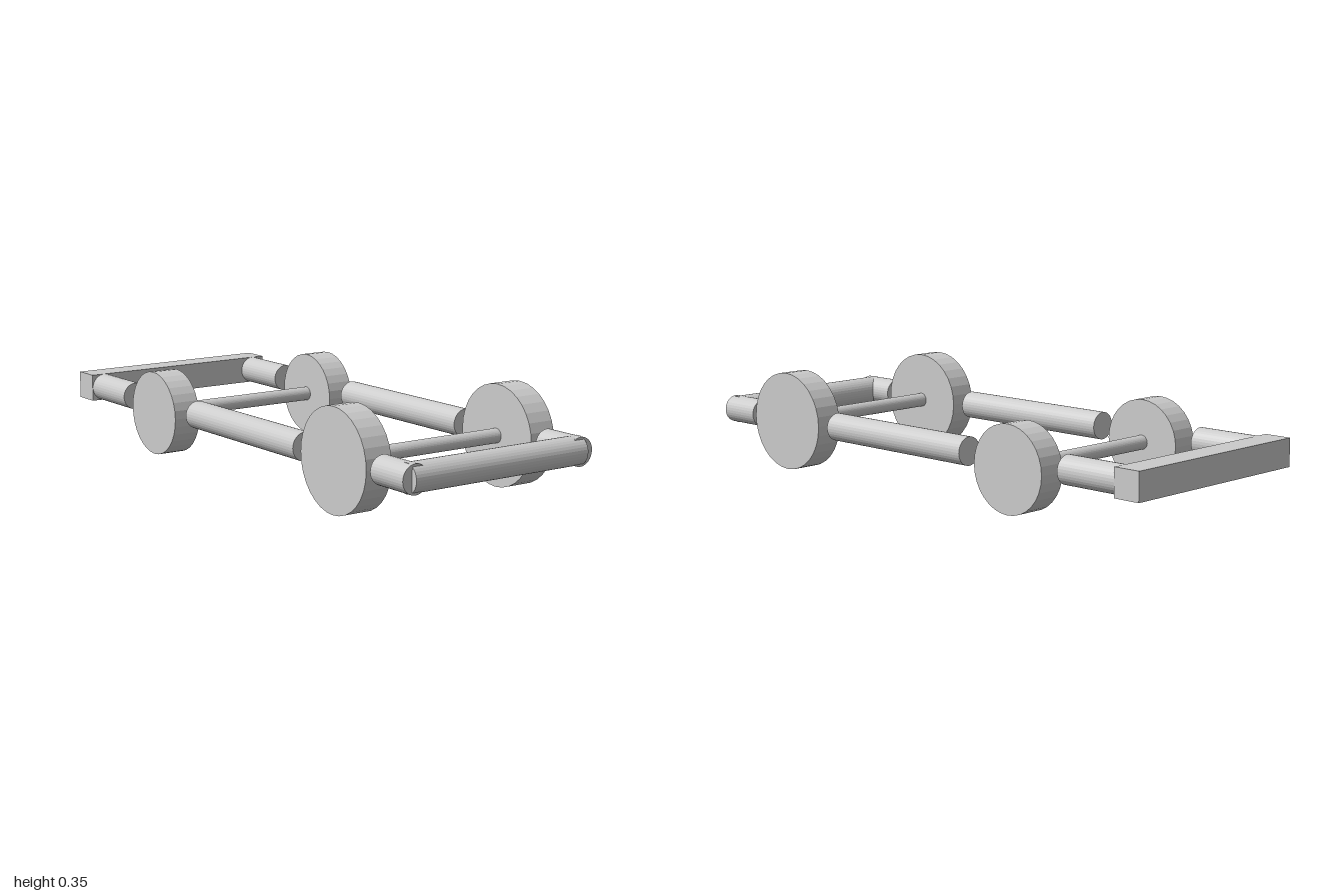
import * as THREE from 'three';

const material = new THREE.MeshStandardMaterial({ color: 0xcccccc, flatShading: true });
const SIDE_X = 0.332; // centre line of wheels and side rails
const TUBE_R = 0.0485;
const TUBE_Y = 0.174;

export function createModel() {
  const group = new THREE.Group();

  const add = (name, geometry, x, y, z) => {
    const mesh = new THREE.Mesh(geometry, material);
    mesh.name = name;
    mesh.position.set(x, y, z);
    group.add(mesh);
  };
  // Cylinders lying along x or z
  const rodX = (r, length) => new THREE.CylinderGeometry(r, r, length, 32).rotateZ(Math.PI / 2);
  const rodZ = (r, length) => new THREE.CylinderGeometry(r, r, length, 32).rotateX(Math.PI / 2);

  // Wheel pairs joined by thin axles
  const axles = [
    { name: 'front', r: 0.173, y: 0.173, z: 0.628 },
    { name: 'rear', r: 0.148, y: 0.15, z: -0.458 },
  ];
  for (const { name, r, y, z } of axles) {
    add(name + 'Axle', rodX(0.025, 2 * SIDE_X), 0, y, z);
    for (const [side, s] of [['Left', 1], ['Right', -1]]) {
      add(name + 'Wheel' + side, rodX(r, 0.098), s * SIDE_X, y, z);
    }
  }

  // Side rails: front stub, middle rail and rear stub on each side
  const rails = [
    ['frontRail', 0.82, 0.979],
    ['middleRail', -0.24, 0.41],
    ['rearRail', -0.67, -0.91],
  ];
  for (const [name, z0, z1] of rails) {
    for (const [side, s] of [['Left', 1], ['Right', -1]]) {
      add(name + side, rodZ(TUBE_R, Math.abs(z1 - z0)), s * SIDE_X, TUBE_Y, (z0 + z1) / 2);
    }
  }

  // Round front bumper and square rear bumper
  add('frontBumper', rodX(TUBE_R, 0.69), 0, TUBE_Y, 1 - TUBE_R);
  add('rearBumper', new THREE.BoxGeometry(0.764, 0.097, 0.097), 0, TUBE_Y, -0.9515);

  return group;
}
